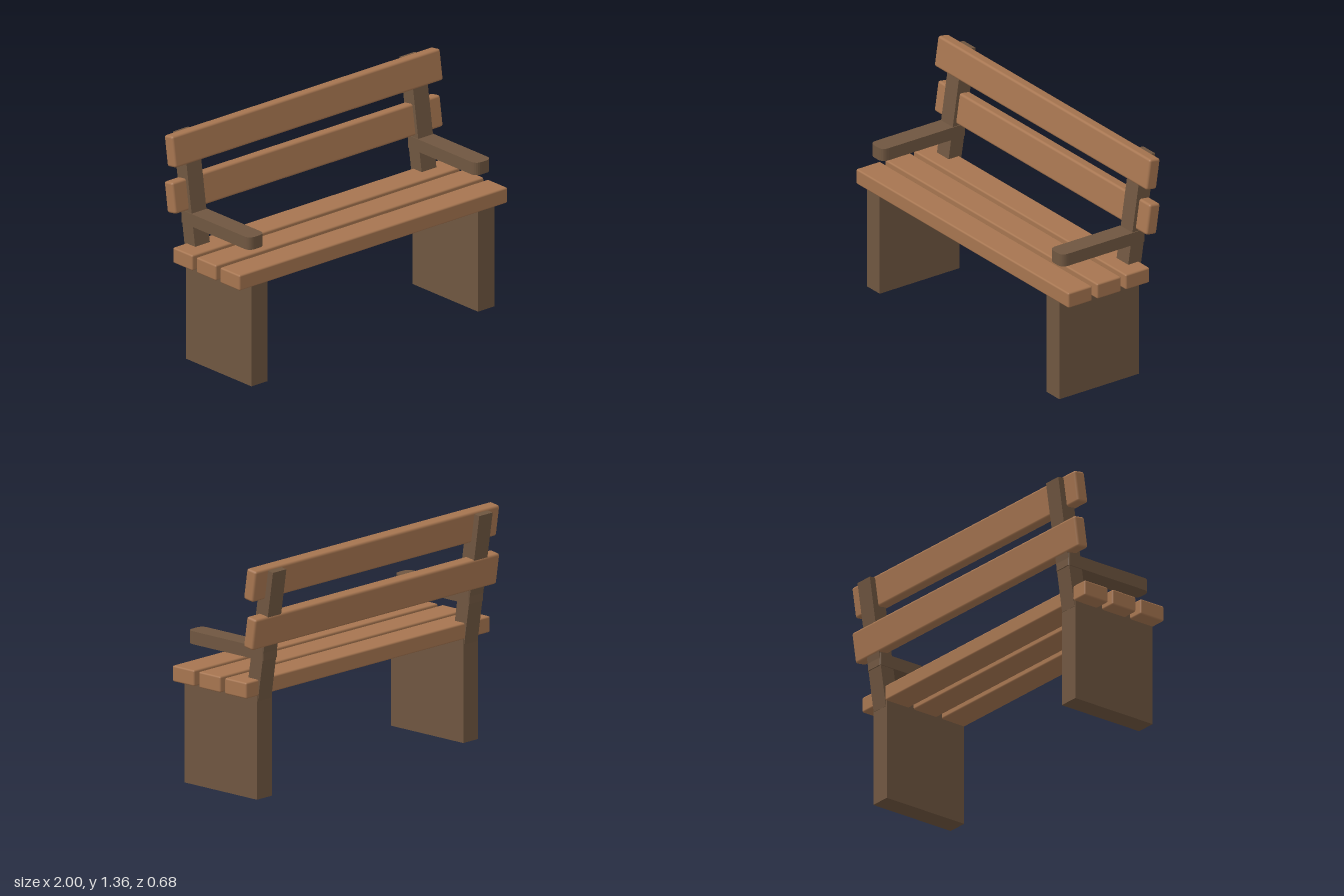
import * as THREE from 'three';
import { RoundedBoxGeometry } from 'three/addons/geometries/RoundedBoxGeometry.js';

const TILT = -0.15; // backward lean of the backrest

export function createModel() {
  const bench = new THREE.Group();
  bench.name = 'bench';

  const slatWood = new THREE.MeshStandardMaterial({ color: 0xa67550 });
  slatWood.name = 'slat wood';
  const frameWood = new THREE.MeshStandardMaterial({ color: 0x6f5640 });
  frameWood.name = 'frame wood';

  const add = (name, geometry, material, x, y, z, tilt = 0) => {
    const mesh = new THREE.Mesh(geometry, material);
    mesh.name = name;
    mesh.position.set(x, y, z);
    mesh.rotation.x = tilt;
    bench.add(mesh);
  };

  // Three seat planks
  const seatGeo = new RoundedBoxGeometry(2, 0.093, 0.167, 2, 0.01);
  [0.257, 0.056, -0.143].forEach((z) => add('seatSlat', seatGeo, slatWood, 0, 0.648, z));

  // Two leaning back planks
  const backGeo = new RoundedBoxGeometry(2, 0.184, 0.074, 2, 0.014);
  [0.985, 1.264].forEach((y) => add('backSlat', backGeo, slatWood, 0, y, -0.2515, TILT));

  // Armrest outline seen from above: large rounding in front, small behind
  const w = 0.06, front = 0.315, back = -0.265, rf = 0.045, rb = 0.012;
  const outline = new THREE.Shape();
  outline.moveTo(-w + rf, -front);
  outline.lineTo(w - rf, -front);
  outline.quadraticCurveTo(w, -front, w, -front + rf);
  outline.lineTo(w, -back - rb);
  outline.quadraticCurveTo(w, -back, w - rb, -back);
  outline.lineTo(-w + rb, -back);
  outline.quadraticCurveTo(-w, -back, -w, -back - rb);
  outline.lineTo(-w, -front + rf);
  outline.quadraticCurveTo(-w, -front, -w + rf, -front);
  const armGeo = new THREE.ExtrudeGeometry(outline, { depth: 0.075, bevelEnabled: false, curveSegments: 6 });
  armGeo.rotateX(-Math.PI / 2);

  // Side frames: leg panel, back post and armrest
  const legGeo = new THREE.BoxGeometry(0.121, 0.646, 0.554);
  const postGeo = new THREE.BoxGeometry(0.11, 0.773, 0.09);
  for (const [side, s] of [['left', 1], ['right', -1]]) {
    const x = s * 0.845;
    add(side + 'Leg', legGeo, frameWood, x, 0.323, 0.057);
    add(side + 'BackPost', postGeo, frameWood, x, 0.958, -0.235, TILT);
    add(side + 'Armrest', armGeo, frameWood, x, 0.811, 0);
  }
  return bench;
}
